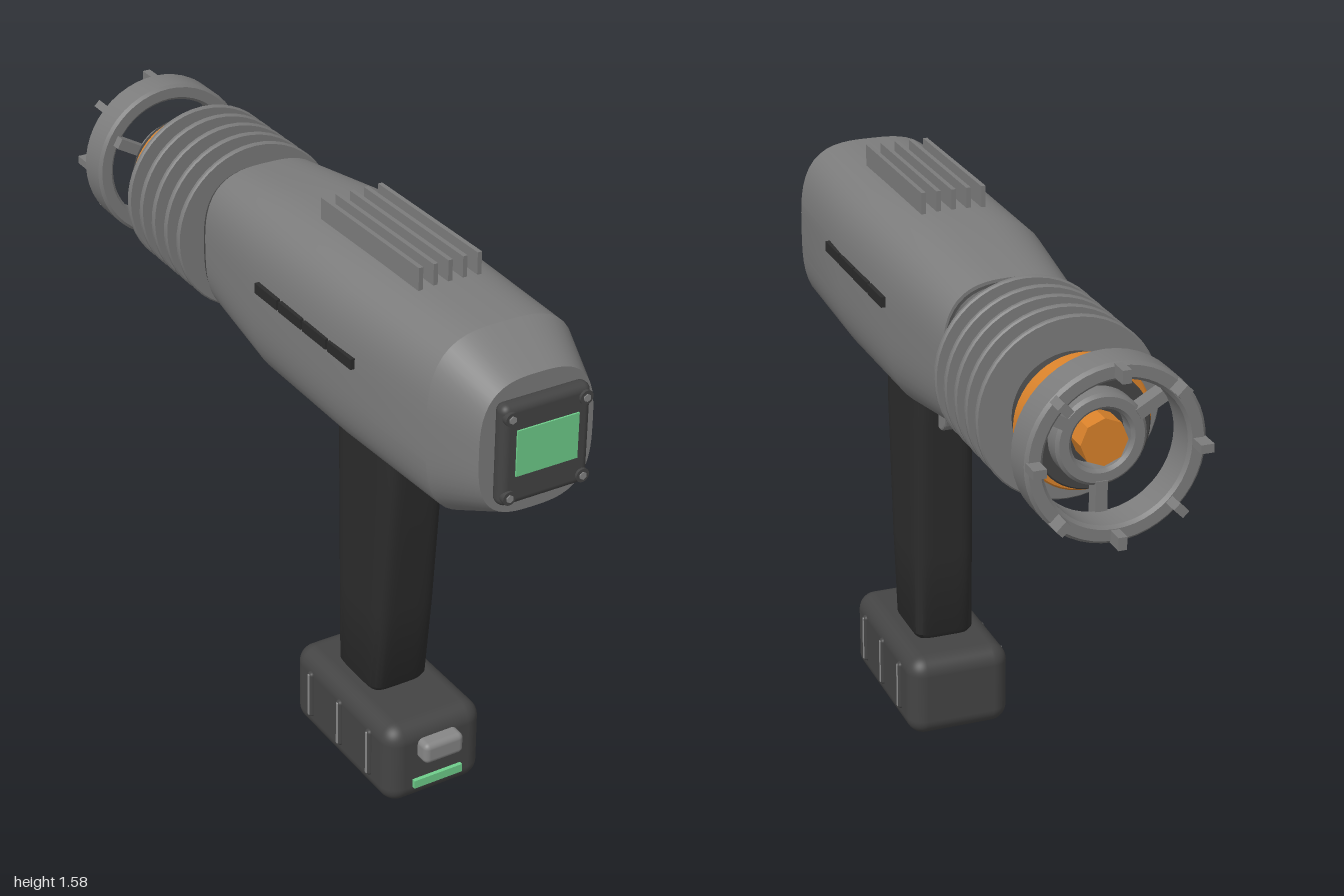
import * as THREE from 'three';
import { toCreasedNormals } from 'three/addons/utils/BufferGeometryUtils.js';
import { RoundedBoxGeometry } from 'three/addons/geometries/RoundedBoxGeometry.js';

const CY = 1.275; // height of the barrel axis

// Lofts superellipse sections [z, halfWidth, halfHeight, centreY, exponent], z ascending
function loft(sections, seg = 64, crease = 0.3) {
  const pos = [], idx = [];
  for (const [z, w, h, cy, n] of sections) {
    for (let j = 0; j < seg; j++) {
      const a = (j / seg) * Math.PI * 2, c = Math.cos(a), s = Math.sin(a);
      const k = Math.pow(Math.pow(Math.abs(c), n) + Math.pow(Math.abs(s), n), -1 / n);
      pos.push(w * c * k, cy + h * s * k, z);
    }
  }
  const last = sections.length - 1;
  for (let i = 0; i < last; i++) {
    for (let j = 0; j < seg; j++) {
      const a = i * seg + j, b = i * seg + ((j + 1) % seg);
      idx.push(a, b, b + seg, a, b + seg, a + seg);
    }
  }
  const c0 = pos.length / 3;
  pos.push(0, sections[0][3], sections[0][0], 0, sections[last][3], sections[last][0]);
  for (let j = 0; j < seg; j++) {
    const k = (j + 1) % seg;
    idx.push(c0, k, j, c0 + 1, last * seg + j, last * seg + k);
  }
  const g = new THREE.BufferGeometry();
  g.setAttribute('position', new THREE.Float32BufferAttribute(pos, 3));
  g.setIndex(idx);
  return toCreasedNormals(g, crease);
}

// Turns a profile of [radius, z] points around the barrel axis
function turned(points, seg = 48) {
  const g = new THREE.LatheGeometry(points.map(([r, z]) => new THREE.Vector2(r, z)), seg);
  g.rotateX(Math.PI / 2);
  return toCreasedNormals(g, 0.5).translate(0, CY, 0);
}

// Ring of rectangular section with a small bevel
const ring = (rIn, rOut, z0, z1, b) => turned([
  [rIn + b, z0], [rOut - b, z0], [rOut, z0 + b], [rOut, z1 - b],
  [rOut - b, z1], [rIn + b, z1], [rIn, z1 - b], [rIn, z0 + b], [rIn + b, z0],
]);

const disc = (r, z0, z1, b = 0.004) => turned([[0, z0], [r - b, z0], [r, z0 + b], [r, z1 - b], [r - b, z1], [0, z1]]);

export function createModel() {
  const root = new THREE.Group();
  root.name = 'handScanner';
  const mat = (name, color) => {
    const m = new THREE.MeshStandardMaterial({ color });
    m.name = name;
    return m;
  };
  const shell = mat('shell grey', 0x7c7c7c);
  const metal = mat('light metal', 0x868686);
  const dark = mat('dark grey', 0x444444);
  const grip = mat('grip black', 0x2b2b2b);
  const orange = mat('orange', 0xd9822b);
  const green = mat('screen green', 0x6fce8b);

  const add = (name, geo, material, x = 0, y = 0, z = 0) => {
    const m = new THREE.Mesh(geo, material);
    m.name = name;
    m.position.set(x, y, z);
    root.add(m);
    return m;
  };
  const rbox = (w, h, d, r, s = 4) => new RoundedBoxGeometry(w, h, d, s, r);

  // Main housing
  add('housing', loft([
    [-0.31, 0.188, 0.208, CY, 3], [0, 0.219, 0.246, CY, 3.2], [0.4, 0.224, 0.246, CY, 3.2],
    [0.8, 0.208, 0.243, CY, 3.2], [0.945, 0.158, 0.178, CY, 3],
  ]), shell);
  add('rearCollar', loft([[-0.35, 0.165, 0.175, CY, 2.5], [-0.325, 0.184, 0.2, CY, 2.9], [-0.305, 0.184, 0.2, CY, 2.9]]), dark);

  // Cooling rails on top
  for (let i = -2; i <= 2; i++) {
    add('topRail', new THREE.BoxGeometry(0.012, 0.1, 0.45), shell, i * 0.041, 1.525, 0.345);
  }

  // Side vents
  for (const side of [-1, 1]) {
    for (let i = 0; i < 4; i++) {
      add('sideVent', new THREE.BoxGeometry(0.03, 0.028, 0.11), grip, side * 0.216, 1.325, 0.445 - i * 0.119);
    }
  }

  // Screen with bezel and corner screws
  add('screenBezel', rbox(0.245, 0.265, 0.045, 0.02), dark, 0, CY + 0.003, 0.964);
  add('screen', new THREE.BoxGeometry(0.17, 0.12, 0.008), green, 0, 1.285, 0.987);
  for (const x of [-0.102, 0.102]) {
    for (const y of [1.173, 1.38]) {
      const screw = new THREE.CylinderGeometry(0.018, 0.018, 0.02, 16).rotateX(Math.PI / 2);
      add('bezelScrew', screw, dark, x, y, 0.983);
      const head = new THREE.CylinderGeometry(0.01, 0.01, 0.008, 6).rotateX(Math.PI / 2);
      add('screwHead', head, metal, x, y, 0.992);
    }
  }

  // Barrel with cooling fins
  add('barrel', disc(0.147, -0.815, -0.32), dark);
  for (let i = 0; i < 5; i++) {
    const z = -0.38 - i * 0.071;
    add('coolingFin', ring(0.14, 0.235, z - 0.008, z + 0.008, 0.004), shell);
  }
  add('orangeBand', ring(0.14, 0.165, -0.78, -0.722, 0.005), orange);

  // Emitter hub and core
  add('emitterHub', ring(0.075, 0.115, -0.87, -0.81, 0.008), shell);
  const core = new THREE.CylinderGeometry(0.06, 0.06, 0.075, 8).rotateX(Math.PI / 2);
  add('emitterCore', toCreasedNormals(core, 0.3), orange, 0, CY, -0.845);

  // Front ring, its three spokes and eight prongs
  add('muzzleRing', ring(0.18, 0.225, -0.955, -0.86, 0.008), shell);
  for (let i = 0; i < 3; i++) {
    const a = -Math.PI / 2 + (i * Math.PI * 2) / 3;
    const spoke = add('spoke', new THREE.BoxGeometry(0.095, 0.03, 0.04), shell,
      Math.cos(a) * 0.15, CY + Math.sin(a) * 0.15, -0.853);
    spoke.rotation.z = a;
  }
  for (let i = 0; i < 8; i++) {
    const a = (i * Math.PI) / 4;
    const prong = add('prong', new THREE.BoxGeometry(0.033, 0.022, 0.07), shell,
      Math.cos(a) * 0.206, CY + Math.sin(a) * 0.206, -0.965);
    prong.rotation.z = a;
  }

  // Handle, lofted upward (local y becomes -z)
  const handle = loft([
    [0.235, 0.075, 0.088, -0.29, 6], [0.255, 0.087, 0.1, -0.29, 6], [0.5, 0.088, 0.116, -0.302, 6],
    [0.9, 0.088, 0.138, -0.316, 6], [1.1, 0.088, 0.138, -0.311, 6],
  ], 64, 0.6).rotateX(-Math.PI / 2);
  add('handle', handle, grip);

  // Trigger
  const t = new THREE.Shape();
  t.moveTo(0.2, 1.06);
  t.lineTo(0.105, 1.06);
  t.quadraticCurveTo(0.12, 0.97, 0.14, 0.91);
  t.quadraticCurveTo(0.155, 0.885, 0.182, 0.892);
  t.lineTo(0.2, 1.06);
  const trigger = new THREE.ExtrudeGeometry(t, { depth: 0.036, bevelSize: 0.006, bevelThickness: 0.006, bevelSegments: 2 });
  trigger.translate(0, 0, -0.018).rotateY(-Math.PI / 2);
  add('trigger', trigger, shell);

  // Battery pack with side ribs, latch and charge light
  add('battery', rbox(0.294, 0.24, 0.5, 0.05, 6), dark, 0, 0.12, 0.316);
  for (const side of [-1, 1]) {
    for (const z of [0.165, 0.315, 0.465]) {
      add('batteryRib', rbox(0.024, 0.145, 0.024, 0.01), dark, side * 0.144, 0.128, z);
      add('ribInlay', rbox(0.009, 0.135, 0.01, 0.004, 2), metal, side * 0.1535, 0.128, z);
    }
  }
  add('batteryLatch', rbox(0.12, 0.062, 0.06, 0.016), metal, 0, 0.168, 0.576);
  add('chargeLight', new THREE.BoxGeometry(0.148, 0.024, 0.024), green, 0, 0.063, 0.565);

  return root;
}
